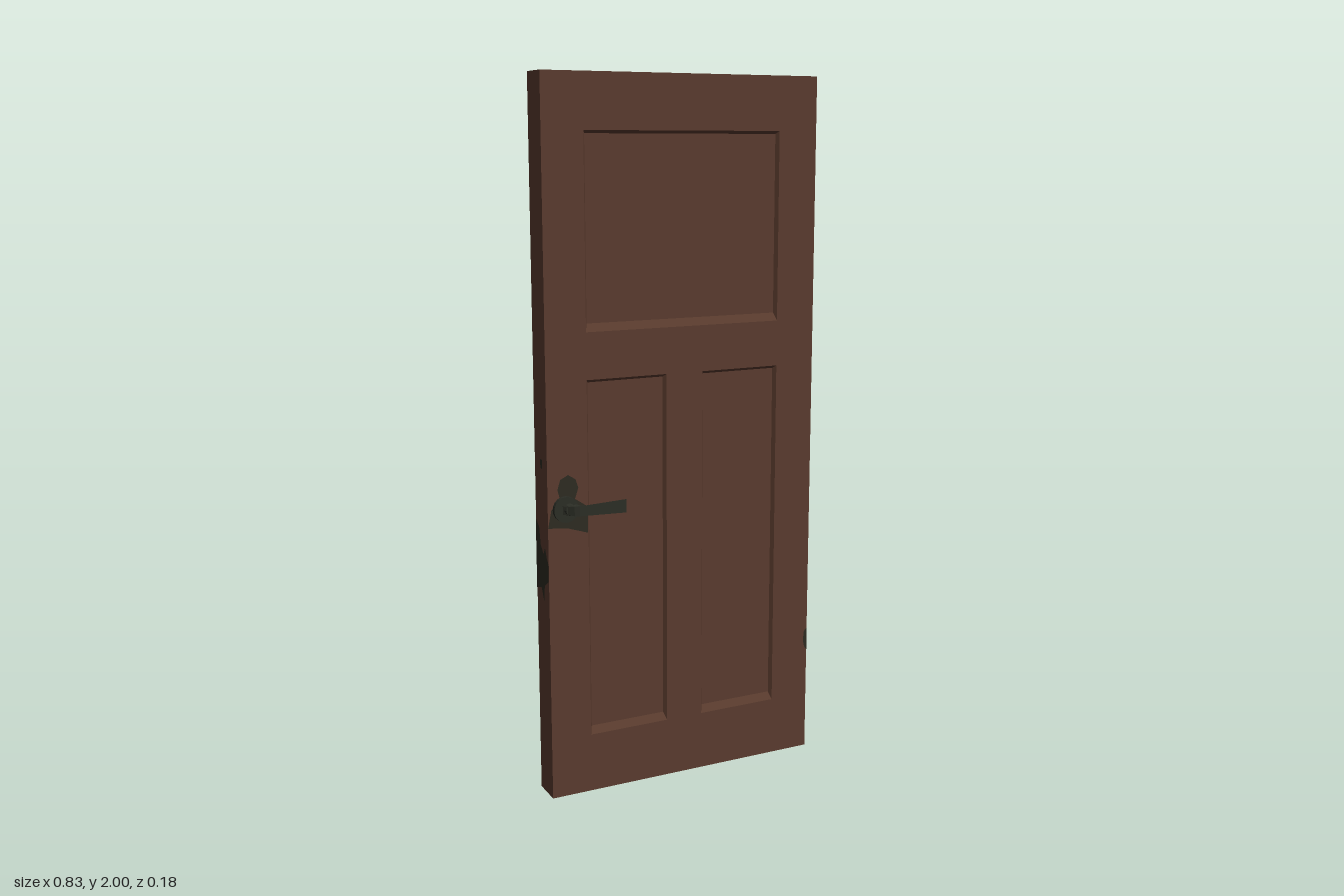
import * as THREE from 'three';

const W = 0.415, T = 0.045, RECESS = 0.012, HANDLE_X = -0.365, HANDLE_Y = 0.84;

function material(name, color) {
  const m = new THREE.MeshStandardMaterial({ color, flatShading: true });
  m.name = name;
  return m;
}

function mesh(name, geometry, mat) {
  const m = new THREE.Mesh(geometry, mat);
  m.name = name;
  return m;
}

const toShape = (pts) => new THREE.Shape(pts.map(([x, y]) => new THREE.Vector2(x, y)));
const rect = (x0, y0, x1, y1) => [[x0, y0], [x1, y0], [x1, y1], [x0, y1]];

// Build a surface by joining neighbouring rings of points; optionally cap the ends
function loft(rings, caps) {
  const pos = [], n = rings[0].length;
  const quad = (a, b, c, d) => pos.push(...a, ...b, ...c, ...a, ...c, ...d);
  for (let i = 0; i < rings.length - 1; i++) {
    for (let j = 0; j < n; j++) {
      const k = (j + 1) % n;
      quad(rings[i][j], rings[i][k], rings[i + 1][k], rings[i + 1][j]);
    }
  }
  if (caps) {
    const a = rings[0], b = rings[rings.length - 1];
    quad(a[3], a[2], a[1], a[0]);
    quad(b[0], b[1], b[2], b[3]);
  }
  const g = new THREE.BufferGeometry();
  g.setAttribute('position', new THREE.Float32BufferAttribute(pos, 3));
  g.computeVertexNormals();
  return g;
}

// Raised frame with sloped mouldings around each sunken panel
function doorFace(name, panels, wood) {
  const group = new THREE.Group();
  group.name = name;
  const shape = toShape(rect(-W, 0, W, 2));
  for (const p of panels) shape.holes.push(new THREE.Path(rect(...p).map(([x, y]) => new THREE.Vector2(x, y))));
  const frame = mesh('frame', new THREE.ExtrudeGeometry(shape, { depth: RECESS, bevelEnabled: false }), wood);
  frame.position.z = T - RECESS;
  group.add(frame);
  for (const [x0, y0, x1, y1] of panels) {
    const outer = rect(x0, y0, x1, y1).map(([x, y]) => [x, y, T]);
    const inner = rect(x0 + 0.007, y0 + 0.022, x1 - 0.007, y1 - 0.008).map(([x, y]) => [x, y, T - RECESS + 0.0005]);
    group.add(mesh('panelMoulding', loft([outer, inner]), wood));
  }
  return group;
}

// Round rose, hub and tapering lever, built around the spindle
function handle(name, iron) {
  const group = new THREE.Group();
  group.name = name;
  const rose = mesh('rose', new THREE.CylinderGeometry(0.036, 0.036, 0.014, 20).rotateX(Math.PI / 2), iron);
  rose.position.set(HANDLE_X, 0, T + 0.006);
  const hub = mesh('hub', new THREE.CylinderGeometry(0.014, 0.018, 0.014, 12).rotateX(Math.PI / 2), iron);
  hub.position.set(-0.357, 0, T + 0.018);
  // Each station: outer x, outer z, inner x, inner z, outer half height, inner half height
  const stations = [
    [-0.378, 0.056, -0.335, 0.056, 0.012, 0.012],
    [-0.362, 0.074, -0.33, 0.06, 0.012, 0.01],
    [-0.352, 0.084, -0.323, 0.063, 0.013, 0.009],
    [-0.338, 0.088, -0.312, 0.064, 0.014, 0.008],
    [-0.2, 0.088, -0.2, 0.079, 0.019, 0.014],
  ];
  const rings = stations.map(([ox, oz, ix, iz, ho, hi]) =>
    [[ox, ho, oz], [ox, -ho, oz], [ix, -hi, iz], [ix, hi, iz]]);
  group.add(rose, hub, mesh('lever', loft(rings, true), iron));
  return group;
}

export function createModel() {
  const wood = material('brown wood', 0x5a3b2e);
  const iron = material('dark iron', 0x2b2d25);
  const grime = material('dark grime', 0x2d2b22);
  [wood, iron].forEach((m) => { m.side = THREE.DoubleSide; });
  const door = new THREE.Group();
  door.name = 'door';

  // Slab and both faces
  const core = mesh('core', new THREE.BoxGeometry(2 * W, 2, 2 * (T - RECESS)), wood);
  core.position.y = 1;
  door.add(core);
  const lower = [[-0.296, 0.17, -0.056, 1.19], [0.056, 0.17, 0.296, 1.19]];
  const back = doorFace('backFace', [...lower, [-0.296, 1.32, -0.056, 1.85], [0.056, 1.32, 0.296, 1.85]], wood);
  back.rotation.y = Math.PI;
  door.add(doorFace('frontFace', [...lower, [-0.296, 1.32, 0.296, 1.85]], wood), back);

  // Matching lever handles
  const frontHandle = handle('frontHandle', iron);
  const backHandle = handle('backHandle', iron);
  frontHandle.position.y = backHandle.position.y = HANDLE_Y;
  backHandle.rotation.x = Math.PI;
  door.add(frontHandle, backHandle);

  // Worn patches: thin flat shapes just above the surface
  const patch = (name, pts, angle, distance) => {
    const m = mesh(name, new THREE.ShapeGeometry(toShape(pts)).translate(0, 0, distance + 0.001), grime);
    m.rotation.y = angle;
    door.add(m);
  };
  const flip = (pts) => pts.map(([x, y]) => [-x, y]);
  const handleWear = [[-0.415, 0.79], [-0.36, 0.785], [-0.298, 0.765], [-0.298, 0.84], [-0.335, 0.865], [-0.325, 0.895],
    [-0.333, 0.92], [-0.355, 0.934], [-0.378, 0.922], [-0.386, 0.895], [-0.38, 0.87], [-0.405, 0.84]];
  const cornerWear = [[0.415, 0.31], [0.415, 0.38], [0.405, 0.37], [0.402, 0.34], [0.407, 0.32]];
  const edgeWear = [[0.045, 0.8], [0.02, 0.78], [0.01, 0.73], [-0.01, 0.71], [-0.022, 0.73], [-0.035, 0.7], [-0.045, 0.69],
    [-0.045, 0.64], [-0.015, 0.62], [-0.008, 0.575], [0.01, 0.61], [0.045, 0.6]];
  const spot = [[-0.012, 0.95], [0.002, 0.95], [0.002, 0.975], [-0.012, 0.975]];
  for (const pts of [handleWear, cornerWear]) {
    patch('frontWear', pts, 0, T);
    patch('backWear', flip(pts), Math.PI, T);
  }
  for (const pts of [edgeWear, spot]) {
    patch('leftEdgeWear', pts, Math.PI / 2, W);
    patch('rightEdgeWear', flip(pts), -Math.PI / 2, W);
  }
  return door;
}
